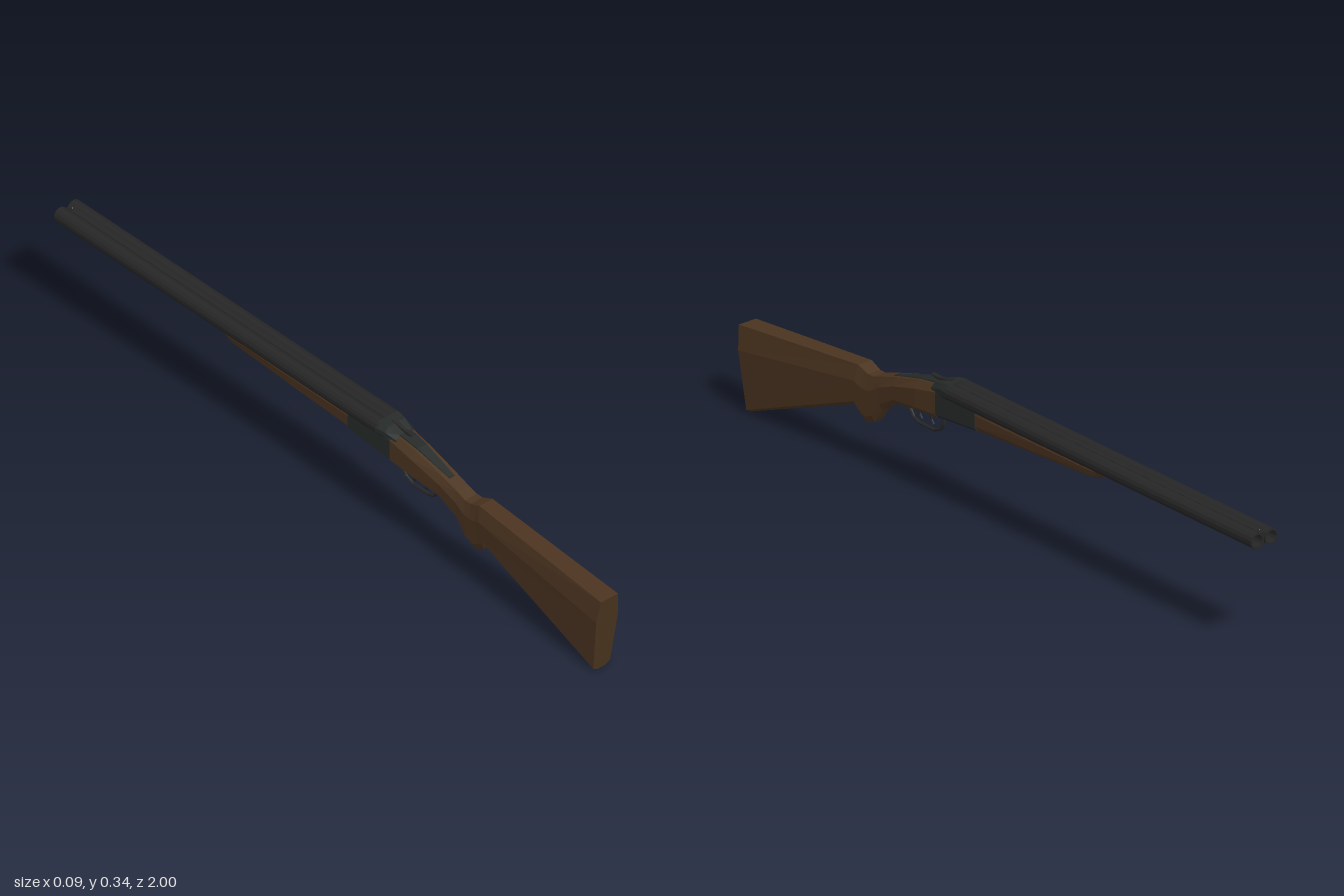
import * as THREE from 'three';

const material = (color) => new THREE.MeshStandardMaterial({ color, flatShading: true, side: THREE.DoubleSide });

// Loft of mirrored eight-sided sections running from high z to low z.
// Section: [zTop, zBottom, top, bottom, [topHalf, midHalf, lowHalf, bottomHalf], shoulder, low]
// shoulder and low are fractions of the height.
function loft(sections) {
  const rings = sections.map(([zt, zb, top, bot, w, sh = 0.8, lo = 0.2]) => {
    const half = [1, sh, lo, 0].map((f, i) => [w[i], bot + (top - bot) * f, zb + (zt - zb) * f]);
    const left = half.map(([x, y, z]) => [-x, y, z]);
    return [half[0], ...left, half[3], half[2], half[1]];
  });
  const pos = [];
  const tri = (...pts) => pts.forEach((p) => pos.push(...p));
  const n = 8;
  for (let i = 0; i < rings.length - 1; i++) {
    for (let j = 0; j < n; j++) {
      const k = (j + 1) % n;
      const [a, b, c, d] = [rings[i][j], rings[i][k], rings[i + 1][k], rings[i + 1][j]];
      tri(a, c, b);
      tri(a, d, c);
    }
  }
  const end = rings[rings.length - 1];
  for (let j = 1; j < n - 1; j++) {
    tri(rings[0][0], rings[0][j], rings[0][j + 1]);
    tri(end[0], end[j + 1], end[j]);
  }
  const geo = new THREE.BufferGeometry();
  geo.setAttribute('position', new THREE.Float32BufferAttribute(pos, 3));
  geo.computeVertexNormals();
  return geo;
}

// Tube through (z, y) points in the centre plane
function rod(points, radius) {
  const path = new THREE.CurvePath();
  const v = points.map(([z, y]) => new THREE.Vector3(0, y, z));
  for (let i = 0; i < v.length - 1; i++) path.add(new THREE.LineCurve3(v[i], v[i + 1]));
  return new THREE.TubeGeometry(path, 28, radius, 6);
}

export function createModel() {
  const group = new THREE.Group();
  const wood = material(0x4b3420);
  const steel = material(0x262626);
  const darkSteel = material(0x252a29);
  const add = (name, geo, mat) => {
    const mesh = new THREE.Mesh(geo, mat);
    mesh.name = name;
    group.add(mesh);
    return mesh;
  };

  // Butt, pistol grip and wrist in one piece
  add('stock', loft([
    [1.0, 0.97, 0.23, 0.0, [0.028, 0.037, 0.028, 0.012], 0.72, 0.035],
    [0.545, 0.56, 0.274, 0.16, [0.022, 0.031, 0.026, 0.012], 0.62, 0.1],
    [0.525, 0.55, 0.266, 0.138, [0.021, 0.029, 0.024, 0.012], 0.65, 0.15],
    [0.51, 0.52, 0.26, 0.122, [0.02, 0.028, 0.023, 0.012], 0.7, 0.15],
    [0.49, 0.493, 0.26, 0.134, [0.02, 0.028, 0.023, 0.012], 0.7, 0.15],
    [0.46, 0.463, 0.27, 0.176, [0.019, 0.028, 0.024, 0.012], 0.7, 0.2],
    [0.4, 0.404, 0.289, 0.214, [0.02, 0.031, 0.028, 0.014], 0.7, 0.2],
    [0.31, 0.31, 0.314, 0.23, [0.022, 0.037, 0.036, 0.024], 0.75, 0.15],
    [0.23, 0.23, 0.328, 0.24, [0.025, 0.0375, 0.0375, 0.028], 0.8, 0.12],
  ]), wood);

  // Action body, standing breech behind the barrels, and tang along the wrist
  add('receiver', loft([
    [0.235, 0.235, 0.325, 0.24, [0.028, 0.037, 0.037, 0.028], 0.8, 0.12],
    [0.077, 0.077, 0.32, 0.254, [0.034, 0.0378, 0.0378, 0.028], 0.8, 0.15],
  ]), darkSteel);
  add('standingBreech', loft([
    [0.25, 0.25, 0.328, 0.3, [0.02, 0.032, 0.034, 0.03], 0.6, 0.3],
    [0.215, 0.215, 0.339, 0.3, [0.028, 0.038, 0.038, 0.032], 0.65, 0.3],
    [0.185, 0.185, 0.343, 0.3, [0.031, 0.044, 0.044, 0.034], 0.65, 0.35],
  ]), darkSteel);
  add('tang', loft([
    [0.42, 0.42, 0.285, 0.276, [0.008, 0.009, 0.009, 0.008]],
    [0.31, 0.31, 0.317, 0.3, [0.015, 0.016, 0.016, 0.015]],
    [0.235, 0.235, 0.331, 0.31, [0.019, 0.02, 0.02, 0.019]],
  ]), darkSteel);
  add('topLever', loft([
    [0.282, 0.275, 0.336, 0.329, [0.005, 0.007, 0.007, 0.005]],
    [0.25, 0.25, 0.335, 0.325, [0.004, 0.005, 0.005, 0.004]],
    [0.205, 0.205, 0.344, 0.325, [0.005, 0.007, 0.007, 0.005]],
  ]), steel);

  // Fore-end under the barrels, bevelled at the tip
  add('foreEnd', loft([
    [0.077, 0.077, 0.315, 0.254, [0.034, 0.0375, 0.036, 0.024], 0.75, 0.25],
    [-0.15, -0.15, 0.312, 0.264, [0.032, 0.036, 0.033, 0.02], 0.75, 0.25],
    [-0.365, -0.365, 0.308, 0.274, [0.029, 0.033, 0.028, 0.016], 0.75, 0.25],
    [-0.412, -0.402, 0.306, 0.288, [0.025, 0.027, 0.023, 0.014], 0.75, 0.25],
  ]), wood);

  // Pair of hollow barrels
  const profile = [[0, -0.19], [0.0215, -0.19], [0.0215, 1], [0.0165, 1], [0.0165, 0.85], [0, 0.85]]
    .map(([r, y]) => new THREE.Vector2(r, y));
  for (const side of [-1, 1]) {
    const geo = new THREE.LatheGeometry(profile, 14).rotateX(-Math.PI / 2);
    const barrel = add(side > 0 ? 'leftBarrel' : 'rightBarrel', geo, steel);
    barrel.position.set(side * 0.0225, 0.321, 0);
  }

  // Ribs filling the grooves above and below, with a sight bead
  const ribs = [['topRib', 0.333], ['bottomRib', 0.309]];
  for (const [name, y] of ribs) {
    add(name, new THREE.BoxGeometry(0.014, 0.008, 1.185), steel).position.set(0, y, -0.4);
  }
  add('sightBead', new THREE.SphereGeometry(0.004, 8, 6), steel).position.set(0, 0.339, -0.98);

  // Trigger guard and two curved triggers
  add('triggerGuard', rod([[0.385, 0.222], [0.368, 0.207], [0.355, 0.19], [0.335, 0.183],
    [0.275, 0.183], [0.25, 0.194], [0.24, 0.21], [0.24, 0.245]], 0.0045), steel);
  for (const [name, z] of [['rearTrigger', 0.333], ['frontTrigger', 0.288]]) {
    add(name, rod([[z - 0.005, 0.24], [z, 0.22], [z, 0.207], [z - 0.008, 0.196]], 0.0035), steel);
  }
  return group;
}
